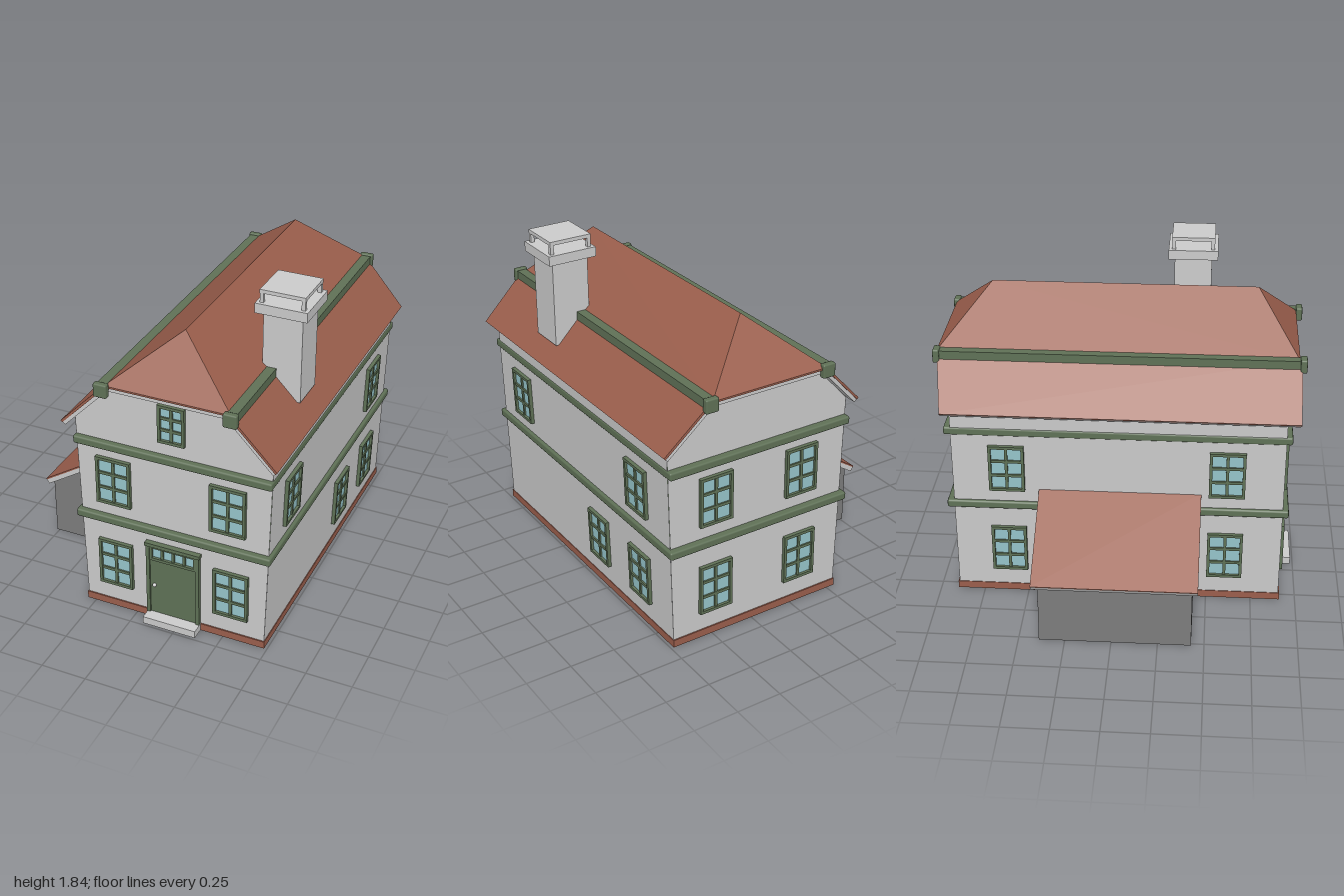
import * as THREE from 'three';
import { RoundedBoxGeometry } from 'three/addons/geometries/RoundedBoxGeometry.js';
import { ConvexGeometry } from 'three/addons/geometries/ConvexGeometry.js';

const mat = (color, side = THREE.FrontSide) => new THREE.MeshStandardMaterial({ color, side });
const grey = mat(0xcccccc);
const wallGrey = mat(0xcccccc, THREE.DoubleSide);
const shedGrey = mat(0x7c7c7c, THREE.DoubleSide);
const red = mat(0x9a5e4c);
const green = mat(0x5f7156);
const glass = mat(0x96c5cb);

const CX = 0.217;      // centre line of the house
const FRONT = 0.905;   // front and back wall planes
const BACK = -0.895;

function add(parent, name, geometry, material) {
  const mesh = new THREE.Mesh(geometry, material);
  mesh.name = name;
  parent.add(mesh);
  return mesh;
}

// box given by its limits on each axis, optionally with softened edges
function box(parent, name, material, [x0, x1], [y0, y1], [z0, z1], radius = 0) {
  const size = [x1 - x0, y1 - y0, z1 - z0];
  const geometry = radius ? new RoundedBoxGeometry(...size, 1, radius) : new THREE.BoxGeometry(...size);
  const mesh = add(parent, name, geometry, material);
  mesh.position.set((x0 + x1) / 2, (y0 + y1) / 2, (z0 + z1) / 2);
  return mesh;
}

// glazed window with a frame and glazing bars, facing +z
function glazing(parent, name, [u0, u1, y0, y1], cols, rows) {
  const g = new THREE.Group();
  g.name = name;
  parent.add(g);
  const t = 0.008;
  add(g, 'glass', new THREE.PlaneGeometry(u1 - u0, y1 - y0), glass)
    .position.set((u0 + u1) / 2, (y0 + y1) / 2, 0.006);
  for (let i = 0; i <= cols; i++) {
    const u = u0 + t + (u1 - u0 - 2 * t) * i / cols;
    const edge = i % cols === 0;
    box(g, edge ? 'frameSide' : 'bar', green, [u - t, u + t], [y0, y1], [-0.012, edge ? 0.02 : 0.014]);
  }
  for (let j = 0; j <= rows; j++) {
    const y = y0 + t + (y1 - y0 - 2 * t) * j / rows;
    const edge = j % rows === 0;
    box(g, edge ? 'frameRail' : 'bar', green, [u0, u1], [y - t, y + t], [-0.012, edge ? 0.0205 : 0.0145]);
  }
}

// wall panel with window openings
function wall(parent, name, outline, windows, x, z, turn, lean = 0) {
  const g = new THREE.Group();
  g.name = name;
  g.position.set(x, 0, z);
  g.rotation.set(lean, turn, 0, 'YXZ');
  parent.add(g);
  const shape = new THREE.Shape(outline.map(p => new THREE.Vector2(...p)));
  for (const [u0, u1, y0, y1] of windows) {
    shape.holes.push(new THREE.Path([[u0, y0], [u0, y1], [u1, y1], [u1, y0]].map(p => new THREE.Vector2(...p))));
  }
  add(g, 'wallPanel', new THREE.ShapeGeometry(shape), wallGrey);
  windows.forEach(w => glazing(g, 'window', w, 2, 3));
  return g;
}

// sloping layer whose top runs from the eave to the upper edge; inset trims the back of the eave
function slope(parent, name, material, [x0, y0], [x1, y1], top, bottom, z0, z1, inset = 0) {
  const d = new THREE.Vector2(x1 - x0, y1 - y0).normalize();
  const n = new THREE.Vector2(-d.y, d.x).multiplyScalar(Math.sign(d.x));
  const corner = (x, y, k) => new THREE.Vector2(x - n.x * k, y - n.y * k);
  const shape = new THREE.Shape([corner(x0, y0, top), corner(x1, y1, top), corner(x1, y1, bottom), corner(x0, y0, bottom)]);
  const geometry = new THREE.ExtrudeGeometry(shape, { depth: z1 - z0, bevelEnabled: false }).translate(0, 0, z0);
  const p = geometry.attributes.position;
  for (let i = 0; i < p.count; i++) {
    if (p.getZ(i) < 0) p.setZ(i, p.getZ(i) + inset * (p.getX(i) - x1) / (x0 - x1));
  }
  geometry.computeVertexNormals();
  add(parent, name, geometry, material);
}

function buildWalls(house) {
  const gable = [[-0.512, 0], [0.512, 0], [0.543, 1.14], [0.33, 1.37], [-0.33, 1.37], [-0.543, 1.14]];
  const low = [0.147, 0.428], high = [0.665, 0.942];
  wall(house, 'frontWall', gable, [
    [-0.43, -0.235, ...low], [0.228, 0.423, ...low],
    [-0.43, -0.235, ...high], [0.208, 0.405, ...high],
    [-0.072, 0.075, 1.12, 1.335],
  ], CX, FRONT, 0);
  wall(house, 'backWall', gable, [low, high].flatMap(h =>
    [[-0.36, -0.165, ...h], [0.165, 0.36, ...h]]), CX, BACK, Math.PI);

  // side walls lean slightly outwards
  const lean = Math.atan(0.028);
  const side = [[-FRONT, 0], [-BACK, 0], [-BACK, 1.15], [-FRONT, 1.15]];
  wall(house, 'leftWall', side, [
    [-0.73, -0.535, ...high], [0.5, 0.695, ...high],
    [0.08, 0.275, ...low], [0.5, 0.695, ...low],
  ], CX + 0.512, 0, Math.PI / 2, lean);
  wall(house, 'rightWall', side.map(([u, y]) => [-u, y]), [low, high].flatMap(h =>
    [[-0.695, -0.5, ...h], [0.5, 0.695, ...h]]), CX - 0.512, 0, -Math.PI / 2, lean);

  // plinth strips and floor bands
  for (const s of [-1, 1]) {
    const xs = [CX + s * 0.503, CX + s * 0.517].sort((a, b) => a - b);
    box(house, 'plinthSide', red, xs, [0, 0.042], [BACK - 0.006, FRONT + 0.006]);
    const z = s > 0 ? FRONT : BACK;
    box(house, 'plinthEnd', red, [CX - 0.517, CX + 0.517], [0, 0.042], [z - 0.007, z + 0.007]);
  }
  for (const y of [0.57, 1.022]) {
    box(house, 'floorBand', green, [CX - 0.547, CX + 0.547], [y - 0.022, y + 0.022], [-0.932, 0.937], 0.01);
  }
}

function buildDoor(house) {
  const door = new THREE.Group();
  door.name = 'frontDoor';
  door.position.set(CX, 0, FRONT);
  house.add(door);
  box(door, 'doorLeaf', green, [-0.13, 0.135], [0.04, 0.382], [0, 0.014]);
  for (const u of [-0.14, 0.143]) box(door, 'doorPost', green, [u - 0.01, u + 0.01], [0.04, 0.48], [-0.005, 0.024]);
  box(door, 'lintel', green, [-0.154, 0.158], [0.472, 0.492], [-0.005, 0.03]);
  glazing(door, 'transom', [-0.132, 0.135, 0.382, 0.474], 4, 1);
  add(door, 'doorKnob', new THREE.SphereGeometry(0.011, 12, 8), grey).position.set(-0.104, 0.225, 0.022);
  box(door, 'doorstep', grey, [-0.147, 0.155], [0, 0.042], [0, 0.08]);
}

function buildRoof(house) {
  // lower slopes with red tiles over a grey lining, and beams along the break
  for (const s of [-1, 1]) {
    const eave = [CX + s * 0.588, 1.145], top = [CX + s * 0.335, 1.405];
    slope(house, 'lowerRoof', red, eave, top, 0, 0.013, -0.98, 0.975, 0.04);
    slope(house, 'roofLining', grey, eave, top, 0.013, 0.032, -0.975, 0.97, 0.04);
    const bx = CX + s * 0.347;
    box(house, 'roofBeam', green, [bx - 0.027, bx + 0.027], [1.365, 1.412], [-0.98, 0.98]);
    for (const z of [-0.98, 0.98]) {
      box(house, 'beamEnd', green, [bx - 0.037, bx + 0.037], [1.345, 1.42], [z - 0.018, z + 0.018], 0.008);
    }
  }
  box(house, 'eaveBoard', grey, [CX - 0.335, CX + 0.335], [1.362, 1.388], [-0.968, 0.948]);
  // hipped upper roof
  const pts = [new THREE.Vector3(CX, 1.675, 0.735), new THREE.Vector3(CX, 1.675, -0.715)];
  for (const x of [-0.34, 0.34]) {
    for (const z of [-0.983, 0.962]) {
      for (const y of [1.388, 1.398]) pts.push(new THREE.Vector3(CX + x, y, z));
    }
  }
  add(house, 'upperRoof', new ConvexGeometry(pts), red);
}

function buildChimney(house) {
  const g = new THREE.Group();
  g.name = 'chimney';
  g.position.set(0.62, 0, 0.373);
  house.add(g);
  const block = (name, h, y0, y1) => box(g, name, grey, [-h, h], [y0, y1], [-h, h]);
  block('chimneyStack', 0.104, 1.245, 1.73);
  block('chimneyCollar', 0.138, 1.717, 1.77);
  block('chimneyCap', 0.12, 1.82, 1.84);
  for (const x of [-0.109, 0.109]) {
    for (const z of [-0.109, 0.109]) {
      box(g, 'capPost', grey, [x - 0.01, x + 0.01], [1.765, 1.822], [z - 0.01, z + 0.01]);
    }
  }
}

function buildShed(house) {
  const g = new THREE.Group();
  g.name = 'leanTo';
  house.add(g);
  const outline = new THREE.Shape([[-0.765, 0], [-0.294, 0], [-0.312, 0.635], [-0.765, 0.347]].map(p => new THREE.Vector2(...p)));
  add(g, 'shedFront', new THREE.ShapeGeometry(outline), shedGrey).position.z = 0.43;
  // turned to face the back
  const back = new THREE.Shape(outline.getPoints().map(p => new THREE.Vector2(-p.x, p.y)).reverse());
  const rear = add(g, 'shedBack', new THREE.ShapeGeometry(back), shedGrey);
  rear.position.z = -0.39;
  rear.rotation.y = Math.PI;
  const outer = add(g, 'shedSide', new THREE.PlaneGeometry(0.82, 0.347), shedGrey);
  outer.position.set(-0.765, 0.1735, 0.02);
  outer.rotation.y = -Math.PI / 2;
  slope(g, 'shedRoof', red, [-0.8, 0.362], [-0.305, 0.677], 0, 0.008, -0.425, 0.46);
  slope(g, 'shedRoofLining', grey, [-0.8, 0.362], [-0.305, 0.677], 0.008, 0.035, -0.425, 0.46);
  // plank door with battens
  box(g, 'shedDoor', grey, [-0.62, -0.39], [0.005, 0.26], [-0.4, -0.39]);
  for (const y of [0.06, 0.205]) box(g, 'doorBatten', grey, [-0.61, -0.4], [y - 0.012, y + 0.012], [-0.404, -0.398]);
  add(g, 'shedKnob', new THREE.SphereGeometry(0.009, 10, 6), grey).position.set(-0.6, 0.135, -0.406);
}

export function createModel() {
  const house = new THREE.Group();
  house.name = 'house';
  buildWalls(house);
  buildDoor(house);
  buildRoof(house);
  buildChimney(house);
  buildShed(house);
  return house;
}
